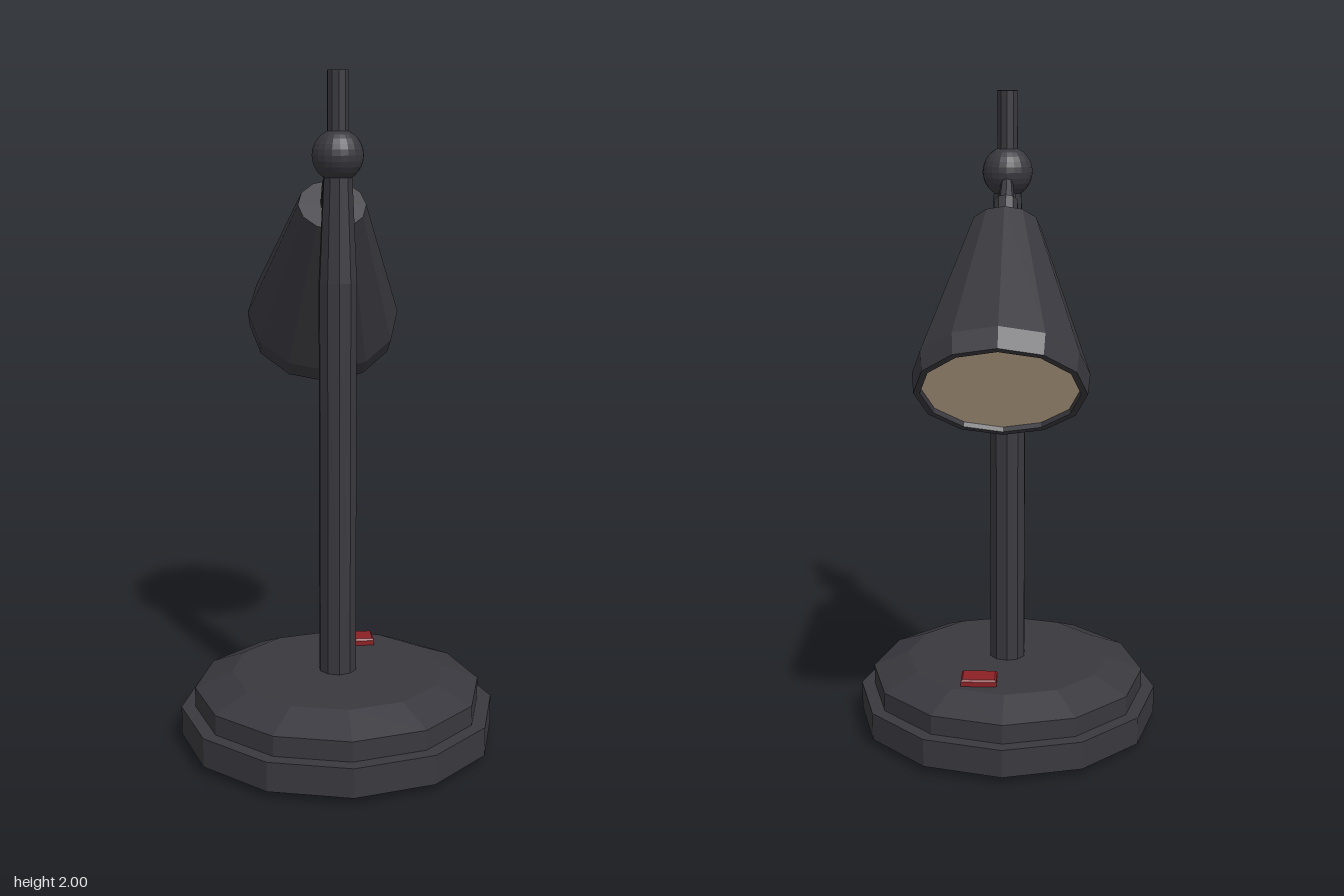
import * as THREE from 'three';

export function createModel() {
  const model = new THREE.Group();
  model.name = 'deskLamp';

  const material = (name, color, flatShading = true) => {
    const m = new THREE.MeshStandardMaterial({ color, flatShading });
    m.name = name;
    return m;
  };
  const body = material('charcoal', 0x39383e);
  const pad = material('footPadBlack', 0x2f2f31);
  const glow = material('warmLens', 0xd8bfa0);
  const red = material('switchRed', 0x8c2024);

  const add = (parent, name, geometry, mat, x = 0, y = 0, z = 0) => {
    const g = geometry.index ? geometry.toNonIndexed() : geometry;
    g.computeVertexNormals();
    const mesh = new THREE.Mesh(g, mat);
    mesh.name = name;
    mesh.position.set(x, y, z);
    parent.add(mesh);
    return mesh;
  };
  const lathe = (points, sides) =>
    new THREE.LatheGeometry(points.map(([r, y]) => new THREE.Vector2(r, y)), sides);

  const cz = 0.123; // the stand sits forward of the centre

  // Stepped twelve-sided base on a dark foot pad
  add(model, 'footPad', lathe([[0, 0], [0.432, 0], [0.445, 0.008], [0.445, 0.022]], 12), pad, 0, 0, cz);
  add(model, 'base', lathe([
    [0.44, 0.022], [0.477, 0.022], [0.477, 0.11], [0.435, 0.11],
    [0.435, 0.17], [0.323, 0.217], [0, 0.217],
  ], 12), body, 0, 0, cz);

  // Post with a tapered upper end
  add(model, 'post', lathe([[0.057, 0.21], [0.057, 1.4], [0.043, 1.7], [0, 1.7]], 10), body, 0, 0, cz);

  // Ball joint and the rod above it
  add(model, 'ballJoint', new THREE.SphereGeometry(0.075, 20, 14), body, 0, 1.763, cz);
  add(model, 'topRod', new THREE.CylinderGeometry(0.032, 0.032, 0.24, 10), body, 0, 1.88, cz);

  // Lamp head: local y runs from the rim up towards the joint
  const head = new THREE.Group();
  head.name = 'lampHead';
  head.position.set(0, 1.614, -0.053);
  head.rotation.x = 0.732;
  model.add(head);
  add(head, 'shade', lathe([
    [0.215, -0.53], [0.22, -0.554], [0.238, -0.554], [0.245, -0.49], [0.103, 0], [0, 0],
  ], 12), body);
  add(head, 'lens', new THREE.CylinderGeometry(0.218, 0.218, 0.006, 12), glow, 0, -0.537, 0);
  add(head, 'neck', new THREE.CylinderGeometry(0.036, 0.036, 0.1, 10), body, 0, 0.042, 0);

  // Thin arm widening from the ball to the neck
  const from = new THREE.Vector3(0, 1.763, 0.09);
  const to = new THREE.Vector3(0, 1.675, 0.005);
  const arm = add(model, 'arm', new THREE.CylinderGeometry(0.014, 0.026, from.distanceTo(to), 8), body);
  arm.position.copy(from).add(to).multiplyScalar(0.5);
  arm.quaternion.setFromUnitVectors(new THREE.Vector3(0, 1, 0), from.clone().sub(to).normalize());

  // Rocker switch with a narrowed top
  const rocker = new THREE.BoxGeometry(0.11, 0.03, 0.08, 1, 2, 1);
  const p = rocker.attributes.position;
  for (let i = 0; i < p.count; i++) {
    if (p.getY(i) > 0.01) {
      p.setX(i, p.getX(i) * 0.9);
      p.setZ(i, p.getZ(i) * 0.88);
    } else if (p.getY(i) > -0.01) p.setY(i, 0.009);
  }
  add(model, 'switch', rocker, red, 0.08, 0.223, -0.103);

  return model;
}
